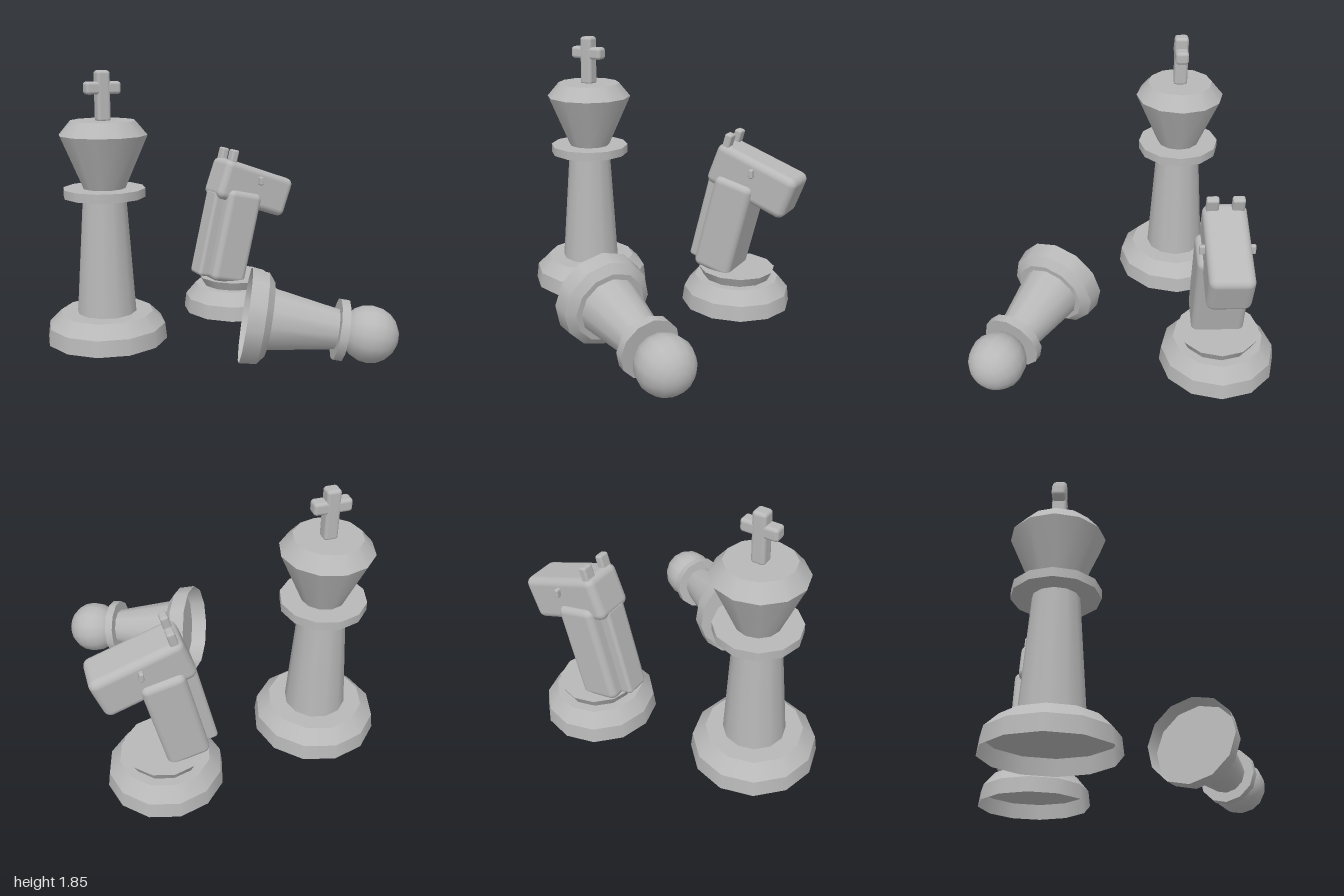
import * as THREE from 'three';
import { RoundedBoxGeometry } from 'three/addons/geometries/RoundedBoxGeometry.js';

const stone = new THREE.MeshStandardMaterial({ color: 0xb8b8b8, side: THREE.DoubleSide });
stone.name = 'grey stone';

function add(parent, name, geometry, x = 0, y = 0, z = 0) {
  const mesh = new THREE.Mesh(geometry, stone);
  mesh.name = name;
  mesh.position.set(x, y, z);
  parent.add(mesh);
  return mesh;
}

// twelve-sided section between two heights
function turned(parent, name, y0, r0, y1, r1, open = false) {
  const geometry = new THREE.CylinderGeometry(r1, r0, y1 - y0, 12, 1, open);
  return add(parent, name, geometry, 0, (y0 + y1) / 2, 0);
}

// hollow foot, closed above by the sloping shoulder
function base(parent, footRadius, rimRadius, footHeight, topRadius, topHeight) {
  turned(parent, 'baseFoot', 0, footRadius, footHeight, rimRadius, true);
  turned(parent, 'baseShoulder', footHeight, rimRadius, topHeight, topRadius);
}

// rounded block, leaning towards +x by the given angle
function block(parent, name, size, position, lean = 0, radius = 0.03) {
  const mesh = add(parent, name, new RoundedBoxGeometry(...size, 3, radius), ...position);
  mesh.rotation.z = -lean;
  return mesh;
}

function piece(parent, name, x, y, z) {
  const group = new THREE.Group();
  group.name = name;
  group.position.set(x, y, z);
  parent.add(group);
  return group;
}

function buildKing(parent) {
  const king = piece(parent, 'king', -0.572, 0, -0.409);
  base(king, 0.418, 0.405, 0.11, 0.32, 0.195);
  turned(king, 'column', 0.195, 0.205, 1.06, 0.145);
  turned(king, 'collar', 1.0, 0.28, 1.06, 0.28);
  turned(king, 'crown', 1.06, 0.145, 1.42, 0.3);
  turned(king, 'crownTop', 1.42, 0.3, 1.515, 0.22);
  block(king, 'crossUpright', [0.092, 0.34, 0.092], [0, 1.675, 0], 0, 0.022);
  block(king, 'crossBar', [0.245, 0.085, 0.088], [0, 1.73, 0], 0, 0.022);
}

function buildKnight(parent) {
  const knight = piece(parent, 'knight', 0.547, 0, -0.618);
  base(knight, 0.383, 0.37, 0.105, 0.295, 0.195);
  turned(knight, 'baseDisc', 0.195, 0.235, 0.26, 0.268);
  // horse neck, mane and head
  block(knight, 'neck', [0.28, 0.695, 0.345], [-0.055, 0.588, 0.003], 0.227, 0.045);
  block(knight, 'mane', [0.14, 0.65, 0.168], [-0.2, 0.61, 0.003], 0.227, 0.025);
  block(knight, 'head', [0.605, 0.3, 0.275], [0.125, 0.94, 0.003], 0.34, 0.05);
  for (const side of [-1, 1]) {
    block(knight, 'ear', [0.053, 0.13, 0.078], [-0.06, 1.18, 0.003 + side * 0.079], 0.25, 0.015);
    block(knight, 'eye', [0.03, 0.062, 0.06], [0.146, 1.003, 0.003 + side * 0.14], 0, 0.01);
  }
}

function buildPawn(parent) {
  // lies on its side, resting on the rim of its base
  const pawn = piece(parent, 'fallenPawn', 0.058, 0.312, 0.43);
  pawn.rotation.set(0, -0.5, -(Math.PI / 2 + 0.15));
  base(pawn, 0.313, 0.3, 0.11, 0.242, 0.155);
  turned(pawn, 'stem', 0.155, 0.205, 0.6, 0.13);
  turned(pawn, 'collar', 0.588, 0.2, 0.643, 0.2);
  add(pawn, 'ballHead', new THREE.SphereGeometry(0.186, 14, 10), 0, 0.803, 0);
}

export function createModel() {
  const model = new THREE.Group();
  model.name = 'chessPieces';
  buildKing(model);
  buildKnight(model);
  buildPawn(model);
  return model;
}
